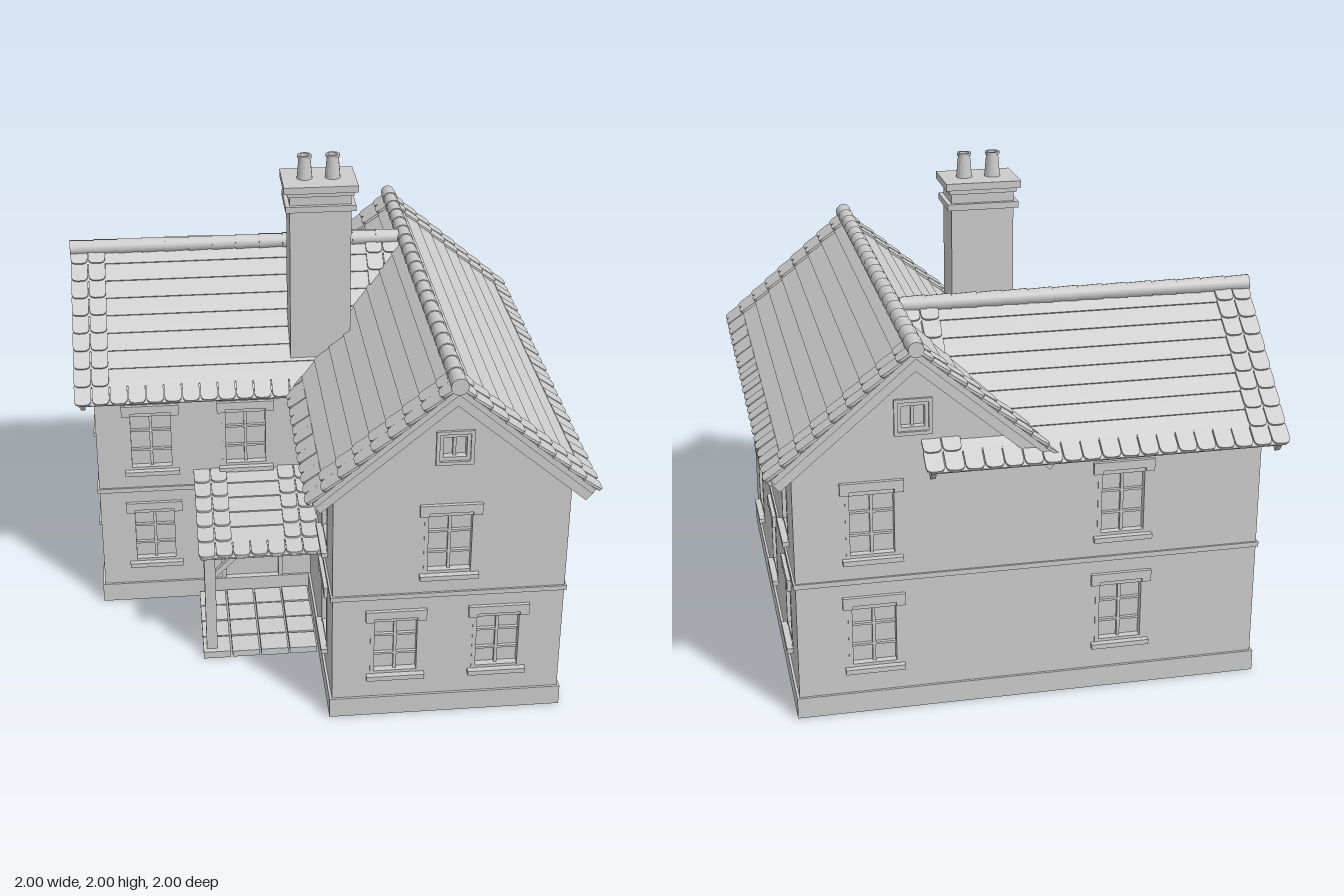
import * as THREE from 'three';
import { mergeGeometries } from 'three/addons/utils/BufferGeometryUtils.js';

const stone = new THREE.MeshStandardMaterial({ color: 0xcccccc });
stone.name = 'pale grey';

function add(parent, name, geo, x = 0, y = 0, z = 0) {
  const m = new THREE.Mesh(geo, stone);
  m.name = name;
  m.position.set(x, y, z);
  parent.add(m);
  return m;
}
const box = (parent, name, w, h, d, x, y, z) => add(parent, name, new THREE.BoxGeometry(w, h, d), x, y, z);

function group(parent, name, x = 0, y = 0, z = 0, ry = 0) {
  const g = new THREE.Group();
  g.name = name;
  g.position.set(x, y, z);
  g.rotation.y = ry;
  parent.add(g);
  return g;
}

function polygon(points, Type = THREE.Shape) {
  return new Type(points.map(([x, y]) => new THREE.Vector2(x, y)));
}
const rect = (x, y, w, h) => [[x - w / 2, y], [x + w / 2, y], [x + w / 2, y + h], [x - w / 2, y + h]];

// Opening types; x is the offset along the wall
const lower = x => ({ x, y: 0.19, w: 0.2, h: 0.265, rows: 3 });
const upper = x => ({ x, y: 0.65, w: 0.2, h: 0.275, rows: 3 });
const attic = { x: 0, y: 1.15, w: 0.12, h: 0.115, rows: 1, small: true };
const pair = x => [lower(x), upper(x)];

function windowUnit(parent, o) {
  const g = group(parent, o.small ? 'atticWindow' : 'window', o.x, o.y, 0);
  const { w, h, rows } = o;
  box(g, 'glass', w, h, 0.006, 0, h / 2, -0.032);
  for (const s of [-1, 1]) {
    box(g, 'frameSide', 0.016, h, 0.035, s * (w / 2 - 0.008), h / 2, -0.015);
    box(g, 'frameRail', w, 0.016, 0.03, 0, h / 2 + s * (h / 2 - 0.008), -0.015);
  }
  box(g, 'mullion', 0.012, h, 0.014, 0, h / 2, -0.022);
  for (let i = 1; i < rows; i++) box(g, 'glazingBar', w, 0.009, 0.014, 0, h * i / rows, -0.022);
  if (o.small) {
    for (const s of [-1, 1]) {
      box(g, 'surroundSide', 0.014, h + 0.028, 0.02, s * (w / 2 + 0.005), h / 2, 0);
      box(g, 'surroundRail', w, 0.014, 0.02, 0, h / 2 + s * (h / 2 + 0.007), 0);
    }
  } else {
    box(g, 'lintel', 0.24, 0.034, 0.03, 0, h + 0.022, 0);
    for (const s of [-1, 1]) box(g, 'lintelEnd', 0.035, 0.014, 0.03, s * 0.102, h - 0.002, 0);
    box(g, 'sill', 0.23, 0.02, 0.04, 0, -0.006, 0.005);
  }
}

// Wall panel with real openings, outer face on local z = 0
function wall(parent, name, width, apex, openings, x, z, ry) {
  const g = group(parent, name, x, 0, z, ry);
  const pts = [[-width / 2, 0], [width / 2, 0], [width / 2, 1.05]];
  if (apex) pts.push([0, apex]);
  pts.push([-width / 2, 1.05]);
  const shape = polygon(pts);
  for (const o of openings) shape.holes.push(polygon(rect(o.x, o.y, o.w, o.h).reverse(), THREE.Path));
  add(g, 'masonry', new THREE.ExtrudeGeometry(shape, { depth: 0.04, bevelEnabled: false }), 0, 0, -0.04);
  for (const o of openings) {
    if (!o.door) windowUnit(g, o);
    else {
      box(g, 'door', o.w, o.h, 0.015, o.x, o.y + o.h / 2, -0.025);
      for (const s of [-1, 1]) box(g, 'doorJamb', 0.02, o.h, 0.045, o.x + s * (o.w / 2 - 0.01), o.y + o.h / 2, -0.016);
      box(g, 'doorHead', o.w, 0.02, 0.045, o.x, o.y + o.h - 0.01, -0.016);
    }
  }
}

// Band following the L-shaped plan
function band(parent, name, y, h, grow, inset) {
  const plan = g => [[-0.92 - g, -0.02 - g], [-0.015 - g, -0.02 - g], [-0.015 - g, -0.925 - g],
    [0.895 + g, -0.925 - g], [0.895 + g, 0.895 + g], [-0.92 - g, 0.895 + g]];
  const shape = polygon(plan(grow));
  shape.holes.push(polygon(plan(-inset).reverse(), THREE.Path));
  const geo = new THREE.ExtrudeGeometry(shape, { depth: h, bevelEnabled: false });
  geo.rotateX(-Math.PI / 2);
  add(parent, name, geo, 0, y, 0);
}

function tileGeometry(w, len) {
  const s = new THREE.Shape();
  const a = w / 2 - 0.002, c = 0.026;
  s.moveTo(-a, 0);
  s.lineTo(a, 0);
  s.lineTo(a, len - c);
  s.quadraticCurveTo(a, len, a - c, len);
  s.lineTo(-a + c, len);
  s.quadraticCurveTo(-a, len, -a, len - c);
  const geo = new THREE.ExtrudeGeometry(s, { depth: 0.01, bevelEnabled: false, curveSegments: 4 });
  geo.rotateX(Math.PI / 2);
  geo.rotateX(-0.1);
  return geo;
}

// Roof slope: starts at the ridge and falls towards local +z
function slope(parent, length, run, rise, rows, boards) {
  const g = group(parent, 'roofSlope');
  g.rotation.x = Math.atan2(rise, run);
  const L = Math.hypot(run, rise), pitch = L / rows;
  box(g, 'roofDeck', length - 0.02, 0.022, L - 0.02, 0, -0.017, (L - 0.02) / 2);
  const courses = [], tiles = [];
  const count = Math.round(length / 0.076), tw = length / count;
  const tile = tileGeometry(tw, pitch + 0.008);
  for (let r = 0; r < rows; r++) {
    const course = new THREE.BoxGeometry(length - 0.04, 0.008, pitch);
    course.rotateX(-0.07);
    courses.push(course.translate(0, -0.005, (r + 0.5) * pitch));
    // full tile row at the eave, two tiles at each verge above it
    for (let i = 0; i < count; i++) {
      if (r === rows - 1 || i < 2 || i > count - 3) {
        const lift = (i % 2) * 0.002;
        tiles.push(tile.clone().translate(-length / 2 + (i + 0.5) * tw, 0.003 + lift, r * pitch - 0.008));
      }
    }
  }
  add(g, 'tileCourses', mergeGeometries(courses));
  add(g, 'edgeTiles', mergeGeometries(tiles));
  if (boards) {
    for (const s of [-1, 1]) box(g, 'bargeBoard', 0.02, 0.045, L - 0.02, s * (length / 2 - 0.035), -0.045, L / 2);
  }
  return g;
}

// Pitched roof with ridge along local x
function pitchedRoof(parent, name, length, x, z, ry) {
  const roof = group(parent, name, x, 1.49, z, ry);
  for (const turn of [0, Math.PI]) {
    slope(group(roof, 'roofSide', 0, 0, 0, turn), length, 0.555, 0.472, 9, true);
  }
  const n = Math.round(length / 0.1), seg = length / n;
  for (let i = 0; i < n; i++) {
    const cap = new THREE.CylinderGeometry(0.034, 0.03, seg, 12);
    cap.rotateZ(Math.PI / 2);
    add(roof, 'ridgeTile', cap, -length / 2 + (i + 0.5) * seg, 0.001, 0);
  }
}

export function createModel() {
  const house = new THREE.Group();
  house.name = 'house';
  const Q = Math.PI / 2;

  // Walls of the two wings
  wall(house, 'frontGableWall', 0.91, 1.44, [lower(-0.205), lower(0.2), upper(-0.005), attic], 0.44, 0.925, 0);
  wall(house, 'rightWall', 1.82, 0, [-0.615, 0.015, 0.605].flatMap(pair), 0.895, 0.015, Q);
  wall(house, 'backGableWall', 0.91, 1.44, [...pair(-0.16), attic], 0.44, -0.895, Math.PI);
  wall(house, 'backWall', 0.905, 0, pair(-0.0975), -0.4675, -0.895, Math.PI);
  wall(house, 'leftGableWall', 0.915, 1.44, [...pair(0), attic], -0.92, -0.4375, -Q);
  wall(house, 'entranceWall', 0.905, 0, [lower(-0.2225), upper(-0.2225), upper(0.1775),
    { x: 0.195, y: 0.03, w: 0.27, h: 0.45, door: true }], -0.4675, 0.02, 0);
  wall(house, 'innerSideWall', 0.905, 0, pair(0.16), -0.015, 0.4725, -Q);
  band(house, 'plinth', 0, 0.085, 0.01, 0.05);
  band(house, 'stringCourse', 0.548, 0.02, 0.008, 0.03);

  // Roofs
  pitchedRoof(house, 'mainRoof', 1.965, 0.437, 0.008, Q);
  pitchedRoof(house, 'sideRoof', 1.41, -0.293, -0.443, 0);

  // Chimney
  const chimney = group(house, 'chimney', 0.032, 0, -0.108);
  box(chimney, 'stack', 0.25, 0.88, 0.172, 0, 1.44, 0);
  box(chimney, 'lowerBand', 0.285, 0.025, 0.207, 0, 1.8, 0);
  box(chimney, 'upperBand', 0.27, 0.02, 0.19, 0, 1.86, 0);
  box(chimney, 'cap', 0.3, 0.028, 0.225, 0, 1.884, 0);
  const potProfile = [[0, 0], [0.032, 0], [0.024, 0.09], [0.029, 0.09], [0.029, 0.1], [0.019, 0.1], [0.019, 0.04], [0, 0.04]]
    .map(([r, y]) => new THREE.Vector2(r, y));
  for (const s of [-1, 1]) {
    const pot = new THREE.LatheGeometry(potProfile, 16).toNonIndexed();
    pot.computeVertexNormals();
    add(chimney, 'chimneyPot', pot, s * 0.057, 1.896, 0);
  }

  // Porch: paving, post, beams, braces and lean-to roof
  const porch = group(house, 'porch');
  for (let i = 0; i < 4; i++) {
    for (let j = 0; j < 4; j++) {
      box(porch, 'paver', 0.113, 0.028 + ((i + j) % 2) * 0.003, 0.108, -0.452 + i * 0.121, 0.015, 0.095 + j * 0.116);
    }
  }
  box(porch, 'post', 0.045, 0.46, 0.045, -0.472, 0.26, 0.45);
  box(porch, 'wallPost', 0.03, 0.46, 0.03, -0.472, 0.26, 0.035);
  box(porch, 'frontBeam', 0.48, 0.035, 0.04, -0.255, 0.49, 0.45);
  box(porch, 'sideBeam', 0.04, 0.035, 0.45, -0.472, 0.49, 0.24);
  box(porch, 'frontBrace', 0.022, 0.15, 0.022, -0.41, 0.43, 0.45).rotation.z = -Math.PI / 4;
  box(porch, 'sideBrace', 0.022, 0.15, 0.022, -0.472, 0.43, 0.39).rotation.x = -Math.PI / 4;
  slope(group(porch, 'porchRoof', -0.268, 0.637, 0.02), 0.5, 0.505, 0.125, 6, false);

  return house;
}
